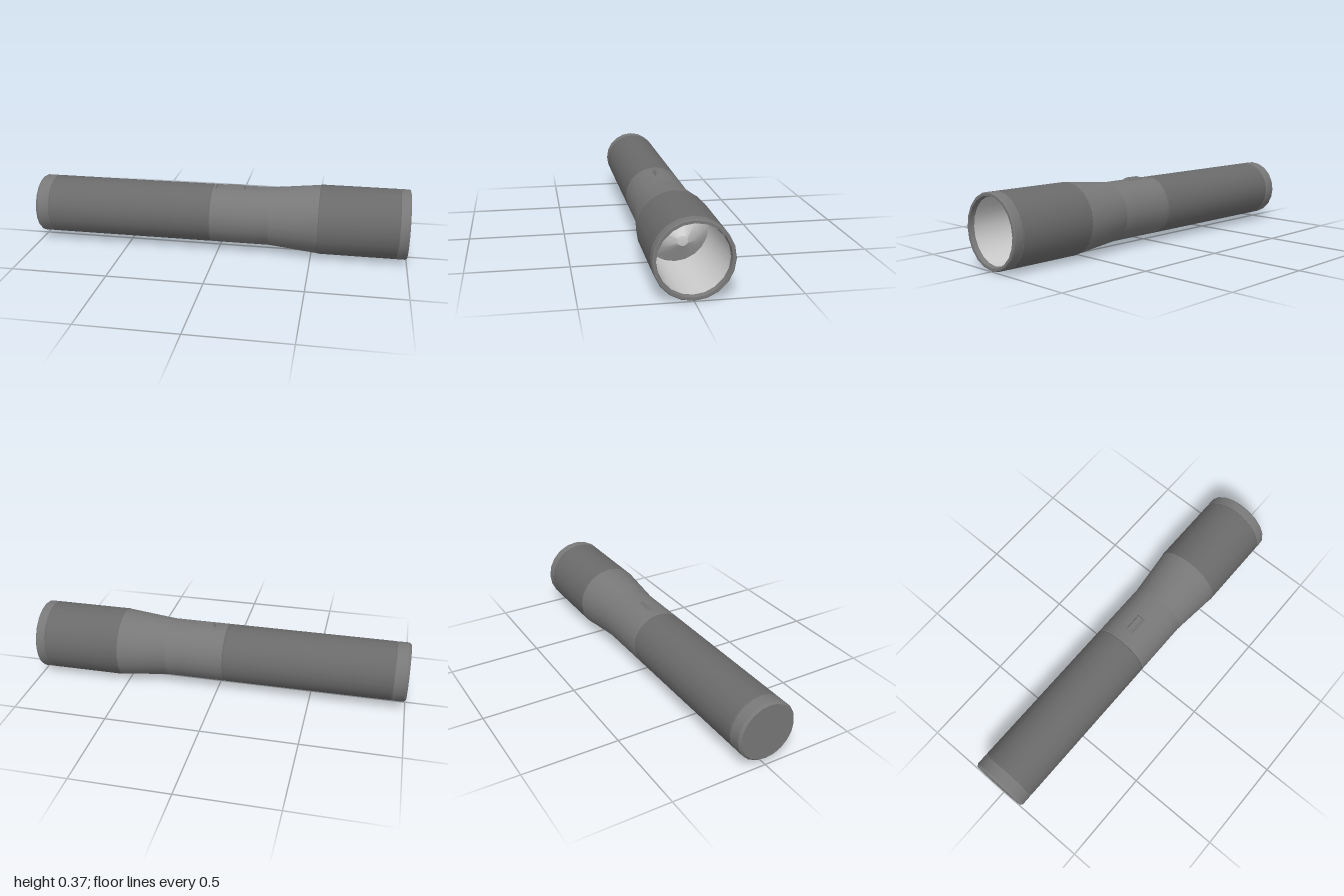
import * as THREE from 'three';
import { toCreasedNormals } from 'three/addons/utils/BufferGeometryUtils.js';

const AXIS_Y = 0.185;
const SIDES = 20;
const DARK = 0x6a6a6a, MID = 0x787878, LIGHT = 0xcccccc;

const material = (color) => new THREE.MeshStandardMaterial({ color });

// Turned part about the long axis; profile is a list of [x, radius]
function turned(name, profile, color, reshape) {
  const points = profile.map(([x, r]) => new THREE.Vector2(r, x));
  let geo = new THREE.LatheGeometry(points, SIDES);
  geo.rotateZ(-Math.PI / 2);
  if (reshape) reshape(geo.attributes.position);
  geo = toCreasedNormals(geo, 0.5);
  const mesh = new THREE.Mesh(geo, material(color));
  mesh.name = name;
  mesh.position.y = AXIS_Y;
  return mesh;
}

// Box whose top is narrowed to a bevel
function bevelledBlock(name, length, height, width, bevel, color) {
  const geo = new THREE.BoxGeometry(length, height, width);
  const p = geo.attributes.position;
  for (let i = 0; i < p.count; i++) {
    if (p.getY(i) < 0) continue;
    p.setX(i, p.getX(i) - Math.sign(p.getX(i)) * bevel);
    p.setZ(i, p.getZ(i) - Math.sign(p.getZ(i)) * bevel);
  }
  const mesh = new THREE.Mesh(toCreasedNormals(geo, 0.3), material(color));
  mesh.name = name;
  return mesh;
}

export function createModel() {
  const model = new THREE.Group();
  model.name = 'flashlight';

  // Tail cap with a chamfered closed end
  model.add(turned('tailCap', [
    [-1, 0], [-1, 0.146], [-0.988, 0.156], [-0.93, 0.156], [-0.926, 0.153],
  ], MID));

  // Battery tube
  model.add(turned('batteryTube', [
    [-0.926, 0.153], [-0.922, 0.156], [-0.042, 0.156], [-0.037, 0.153],
  ], DARK));

  // Switch collar: the topmost edge is pressed down to make a flat pad
  const padStart = -0.019, padEnd = 0.2;
  model.add(turned('switchCollar', [
    [-0.037, 0.153], [-0.033, 0.156], [-0.02, 0.156], [-0.018, 0.156],
    [0.2, 0.156], [0.275, 0.156],
  ], MID, (p) => {
    for (let i = 0; i < p.count; i++) {
      const x = p.getX(i);
      if (x > padStart && x < padEnd + 0.001 && Math.abs(p.getZ(i)) < 0.01 && p.getY(i) > 0) {
        p.setY(i, 0.148);
      }
    }
  }));

  // Flared neck and head barrel
  model.add(turned('neck', [[0.275, 0.156], [0.535, 0.183]], MID));
  model.add(turned('headBarrel', [
    [0.535, 0.183], [0.538, 0.185], [0.945, 0.185], [0.948, 0.182],
  ], DARK));

  // Bezel ring with its rim turned inwards
  model.add(turned('bezel', [
    [0.948, 0.182], [0.951, 0.185], [0.994, 0.185], [1, 0.181],
    [1, 0.168], [0.975, 0.164],
  ], MID));

  // Lamp well behind the rim, with the stepped cone at its bottom
  model.add(turned('lampWell', [[0.975, 0.164], [0.56, 0.164]], LIGHT));
  model.add(turned('lampCone', [
    [0.56, 0.164], [0.66, 0.094], [0.74, 0.025], [0.745, 0],
  ], LIGHT));

  // Push button: surround with a smaller key on top
  const button = new THREE.Group();
  button.name = 'pushButton';
  const surround = bevelledBlock('buttonSurround', 0.106, 0.016, 0.046, 0.008, MID);
  surround.position.y = 0.006;
  const key = bevelledBlock('buttonKey', 0.078, 0.008, 0.024, 0.002, MID);
  key.position.y = 0.013;
  button.add(surround, key);
  button.position.set(0.083, AXIS_Y + 0.148, 0);
  model.add(button);

  return model;
}
